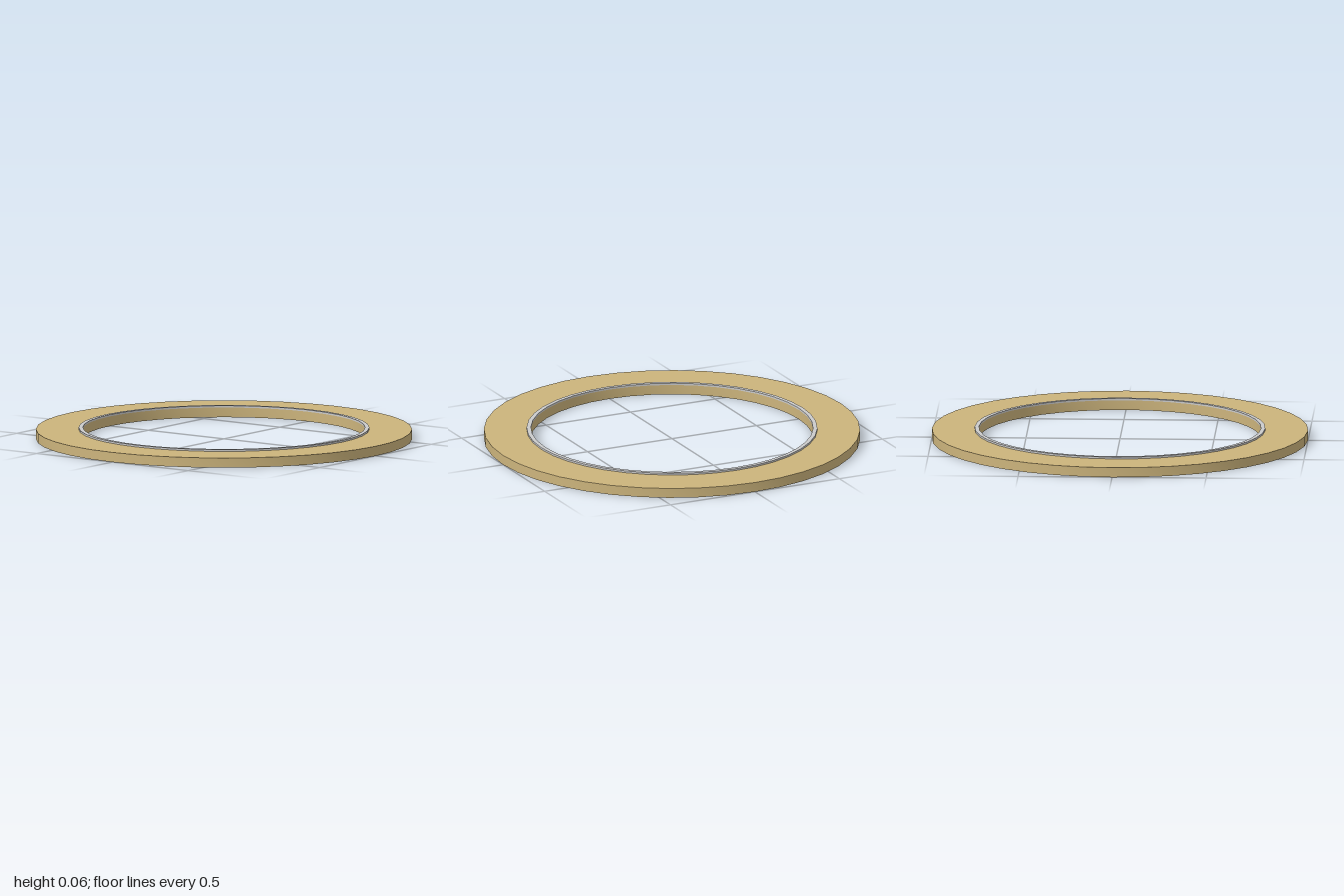
import * as THREE from 'three';
import { toCreasedNormals } from 'three/addons/utils/BufferGeometryUtils.js';

const SEGMENTS = 40;

// Flat ring with a rectangular section, smooth around and sharp at the rims
function ring(name, inner, outer, bottom, top, color) {
  const section = [[outer, bottom], [outer, top], [inner, top], [inner, bottom], [outer, bottom]]
    .map(([r, y]) => new THREE.Vector2(r, y));
  const geometry = toCreasedNormals(new THREE.LatheGeometry(section, SEGMENTS), 0.5);
  const mesh = new THREE.Mesh(geometry, new THREE.MeshStandardMaterial({ color }));
  mesh.name = name;
  return mesh;
}

export function createModel() {
  const group = new THREE.Group();
  group.name = 'flatRing';

  // Wide tan band
  group.add(ring('band', 0.75, 1, 0, 0.052, 0xccb47c));

  // Thin raised lip around the opening
  group.add(ring('innerLip', 0.75, 0.773, 0.052, 0.062, 0xcccccc));

  return group;
}
